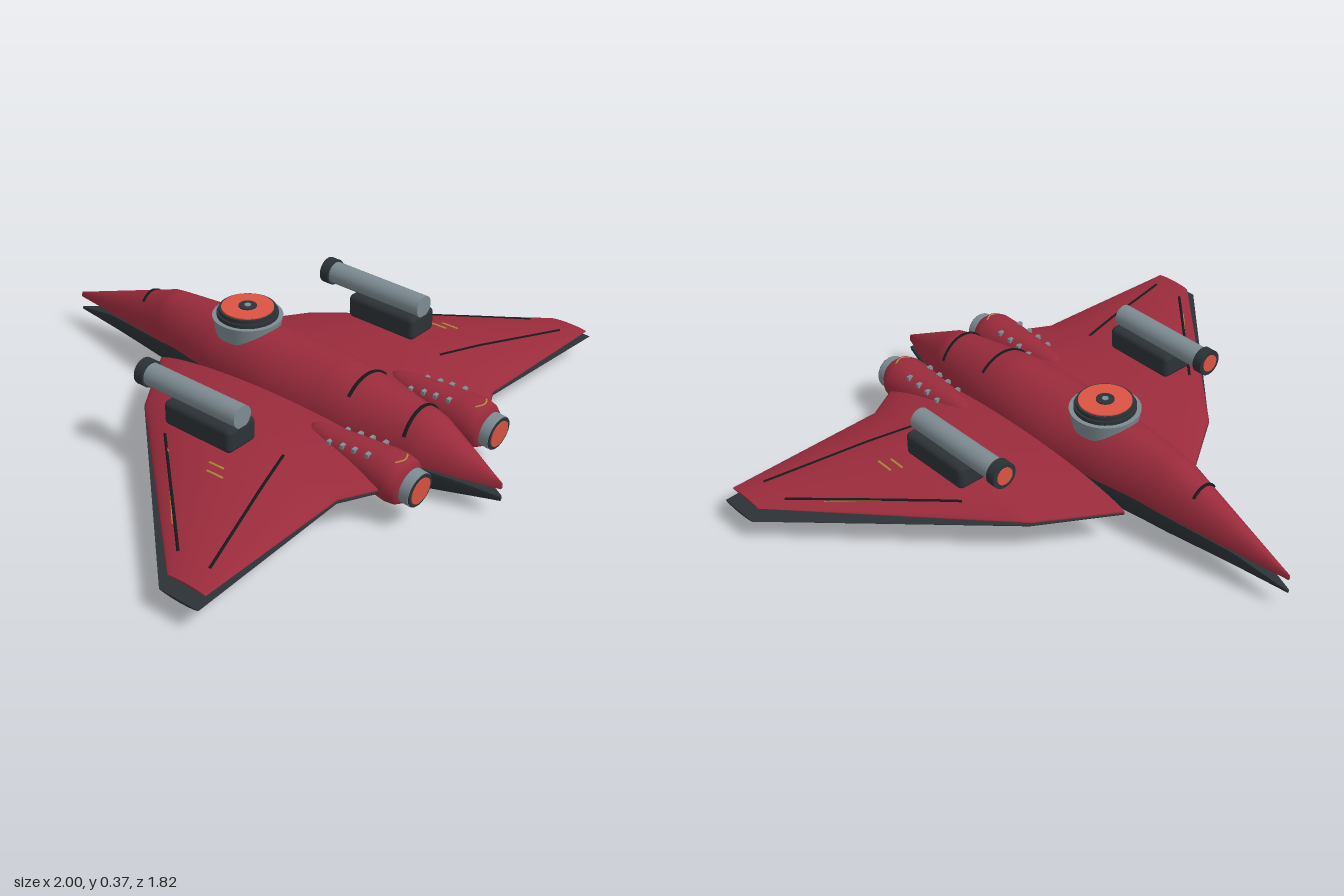
import * as THREE from 'three';
import { mergeGeometries } from 'three/addons/utils/BufferGeometryUtils.js';
import { ParametricGeometry } from 'three/addons/geometries/ParametricGeometry.js';
import { RoundedBoxGeometry } from 'three/addons/geometries/RoundedBoxGeometry.js';

const paint = (name, color) => {
  const m = new THREE.MeshStandardMaterial({ color, side: THREE.DoubleSide });
  m.name = name;
  return m;
};
const red = paint('crimson', 0x9a2b3c);
const slate = paint('dark slate', 0x2b3236);
const grey = paint('steel grey', 0x7d8b92);
const glow = paint('orange glow', 0xdb5443);
const black = paint('panel line black', 0x17191d);
const gold = paint('gold', 0xb8903c);

// Piecewise linear lookup in [[key, value], ...]
function at(table, k) {
  for (let i = 1; i < table.length; i++) {
    const [a, va] = table[i - 1], [b, vb] = table[i];
    if (k <= b) return va + (vb - va) * Math.max(0, (k - a) / (b - a));
  }
  return table[table.length - 1][1];
}

// Closed shell from point(a, t, k): a along it, t across it, k from flat base (0) to skin (1)
function shell(point, n) {
  const face = (f, u, v) => new ParametricGeometry((p, q, out) => out.copy(f(p, q)), u, v);
  return mergeGeometries([
    face((p, q) => point(p, q, 1), n, 24),
    face((p, q) => point(p, q, 0), n, 24),
    face((p, q) => point(0, p, q), 24, 1),
    face((p, q) => point(1, p, q), 24, 1),
  ]);
}

// Fuselage halves, described along z
const halfWidth = [[-0.91, 0.004], [-0.45, 0.092], [-0.2, 0.13], [0.05, 0.152], [0.2, 0.15], [0.4, 0.135], [0.65, 0.1], [0.78, 0.056], [0.91, 0.004]];
const hull = {
  upper: {
    rim: [[-0.91, 0.115], [-0.35, 0.158], [0.3, 0.15], [0.65, 0.125], [0.91, 0.103]],
    edge: [[-0.91, 0.132], [-0.45, 0.3], [-0.2, 0.315], [0.3, 0.312], [0.65, 0.26], [0.91, 0.125]],
  },
  lower: {
    rim: [[-0.91, 0.072], [-0.72, 0.122], [-0.35, 0.158], [0.3, 0.15], [0.65, 0.12], [0.8, 0.1], [0.91, 0.075]],
    edge: [[-0.91, 0.062], [-0.45, 0.03], [0.1, 0.002], [0.65, 0.002], [0.91, 0.058]],
  },
};
function hullPoint(h, z, t, k) {
  const r = at(h.rim, z);
  return new THREE.Vector3(-at(halfWidth, z) * Math.cos(Math.PI * t),
    r + k * (at(h.edge, z) - r) * Math.sin(Math.PI * t), z);
}

// Wing halves, described along x
const wing = {
  upper: {
    tip: 0.97,
    lead: [[0.155, -0.365], [0.4, -0.2], [0.97, 0.455]],
    rim: [[0.155, 0.135], [0.4, 0.13], [0.97, 0.115]],
    rise: [[0.155, 0.065], [0.4, 0.073], [0.55, 0.062], [0.97, 0.007]],
  },
  lower: {
    tip: 1,
    lead: [[0.155, -0.365], [0.4, -0.2], [1, 0.45]],
    rim: [[0.155, 0.13], [0.4, 0.12], [1, 0.082]],
    rise: [[0.155, -0.1], [0.4, -0.07], [1, -0.008]],
  },
};
const trail = [[0.155, 0.72], [0.2, 0.71], [0.4, 0.6], [1, 0.6]];
function wingPoint(w, x, c, k) {
  const z0 = at(w.lead, x), z1 = at(trail, x);
  const bulge = Math.pow(Math.max(0, 1 - c * c), 0.7);
  return new THREE.Vector3(x, at(w.rim, x) + k * at(w.rise, x) * bulge, (z0 + z1) / 2 + c * (z1 - z0) / 2);
}
function wingTop(x, z) {
  const z0 = at(wing.upper.lead, x), z1 = at(trail, x);
  return wingPoint(wing.upper, x, (2 * z - z0 - z1) / (z1 - z0), 1);
}

function add(parent, name, geometry, material, x = 0, y = 0, z = 0) {
  const m = new THREE.Mesh(geometry, material);
  m.name = name;
  m.position.set(x, y, z);
  parent.add(m);
  return m;
}
// Thin raised line through sampled surface points
function line(parent, name, material, sample, radius) {
  const pts = Array.from({ length: 13 }, (_, i) => sample(i / 12));
  return add(parent, name, new THREE.TubeGeometry(new THREE.CatmullRomCurve3(pts), 24, radius, 5), material);
}
const barrelZ = (r, len, r2 = r) => new THREE.CylinderGeometry(r, r2, len, 32).rotateX(Math.PI / 2);

function addWing(root, s) {
  const g = new THREE.Group();
  g.name = s > 0 ? 'leftWing' : 'rightWing';
  root.add(g);
  for (const [half, mat] of [['upper', red], ['lower', slate]]) {
    const w = wing[half];
    const geo = shell((a, t, k) => {
      const x = a < 0.3 ? 0.155 + (0.245 * a) / 0.3 : 0.4 + ((w.tip - 0.4) * (a - 0.3)) / 0.7;
      const p = wingPoint(w, x, -Math.cos(Math.PI * t), k);
      p.x *= s;
      return p;
    }, 20);
    add(g, half + 'WingShell', geo, mat);
  }
  // Panel lines and markings: x, z start, x, z end
  const marks = [
    [0.51, 0, 0.89, 0.42, black, 0.005, 'wingPanelLine'],
    [0.395, 0.385, 0.89, 0.54, black, 0.005, 'wingPanelLine'],
    [0.56, 0.06, 0.81, 0.32, gold, 0.002, 'wingPinstripe'],
    [0.56, 0.235, 0.56, 0.295, gold, 0.004, 'wingMark'],
    [0.592, 0.255, 0.592, 0.32, gold, 0.004, 'wingMark'],
  ];
  for (const [x0, z0, x1, z1, mat, r, name] of marks) {
    line(g, name, mat, (f) => {
      const p = wingTop(x0 + (x1 - x0) * f, z0 + (z1 - z0) * f);
      p.x *= s;
      return p;
    }, r);
  }
}

function addCannon(root, s) {
  const g = new THREE.Group();
  g.name = s > 0 ? 'leftCannon' : 'rightCannon';
  g.position.x = s * 0.452;
  root.add(g);
  add(g, 'cannonMount', new RoundedBoxGeometry(0.125, 0.085, 0.275, 3, 0.018), slate, 0, 0.242, 0.137);
  add(g, 'cannonBarrel', barrelZ(0.038, 0.385), grey, 0, 0.309, 0.08);
  add(g, 'cannonMuzzle', barrelZ(0.045, 0.035), slate, 0, 0.309, -0.123);
  add(g, 'muzzleGlow', barrelZ(0.03, 0.004), glow, 0, 0.309, -0.142);
}

function addEngine(root, s) {
  const g = new THREE.Group();
  g.name = s > 0 ? 'leftEngine' : 'rightEngine';
  g.position.set(s * 0.205, 0.138, 0.72);
  g.rotation.x = 0.1;
  root.add(g);
  const profile = [[-0.395, 0.001], [-0.385, 0.02], [-0.36, 0.034], [-0.3, 0.047], [-0.2, 0.062], [-0.1, 0.077], [-0.05, 0.081], [-0.02, 0.076], [0, 0.062], [0.001, 0.001]];
  add(g, 'enginePod', new THREE.LatheGeometry(profile.map(([z, r]) => new THREE.Vector2(r, z)), 36).rotateX(Math.PI / 2), red);
  add(g, 'nozzleRing', barrelZ(0.058, 0.038), grey, 0, 0, 0.016);
  add(g, 'nozzleThroat', barrelZ(0.056, 0.004), slate, 0, 0, 0.036);
  add(g, 'nozzleGlow', barrelZ(0.045, 0.004), glow, 0, 0, 0.039);
  const podTop = (x, z) => new THREE.Vector3(x, Math.sqrt(Math.max(0, at(profile, z) ** 2 - x * x)), z);
  for (const z of [-0.28, -0.23, -0.185, -0.135]) {
    for (const side of [-1, 1]) {
      const p = podTop(side * 0.043, z);
      add(g, 'podRivet', new THREE.BoxGeometry(0.018, 0.014, 0.013), grey, p.x, p.y + 0.001, p.z);
    }
  }
  line(g, 'podMark', gold, (f) => podTop(-0.03 + 0.06 * f, -0.045 + 0.014 * Math.sin(Math.PI * f)), 0.003);
}

export function createModel() {
  const root = new THREE.Group();
  root.name = 'spacecraft';

  // Fuselage shells
  for (const [half, mat] of [['upper', red], ['lower', slate]]) {
    add(root, half + 'Hull', shell((a, t, k) => hullPoint(hull[half], -0.91 + 1.82 * a, t, k), 44), mat);
  }
  // Seams over the spine: z and half width
  for (const [z, w] of [[-0.55, 0.045], [0.39, 0.092], [0.605, 0.09]]) {
    const t0 = Math.acos(Math.min(1, w / at(halfWidth, z))) / Math.PI;
    line(root, 'hullSeam', black, (f) => hullPoint(hull.upper, z, t0 + (1 - 2 * t0) * f, 1), 0.006);
  }

  // Turret on the spine
  const turret = new THREE.Group();
  turret.name = 'turret';
  turret.position.z = -0.11;
  root.add(turret);
  const disc = (name, r, y0, y1, mat, r0 = r) =>
    add(turret, name, new THREE.CylinderGeometry(r, r0, y1 - y0, 40), mat, 0, (y0 + y1) / 2, 0);
  disc('turretBase', 0.117, 0.27, 0.332, grey, 0.105);
  disc('turretCollar', 0.102, 0.33, 0.345, slate);
  disc('turretDrum', 0.095, 0.345, 0.358, slate);
  disc('turretLens', 0.087, 0.357, 0.362, glow);
  disc('turretHub', 0.03, 0.361, 0.366, slate);
  disc('turretPin', 0.011, 0.365, 0.368, grey);

  for (const s of [-1, 1]) {
    addWing(root, s);
    addCannon(root, s);
    addEngine(root, s);
  }
  return root;
}
